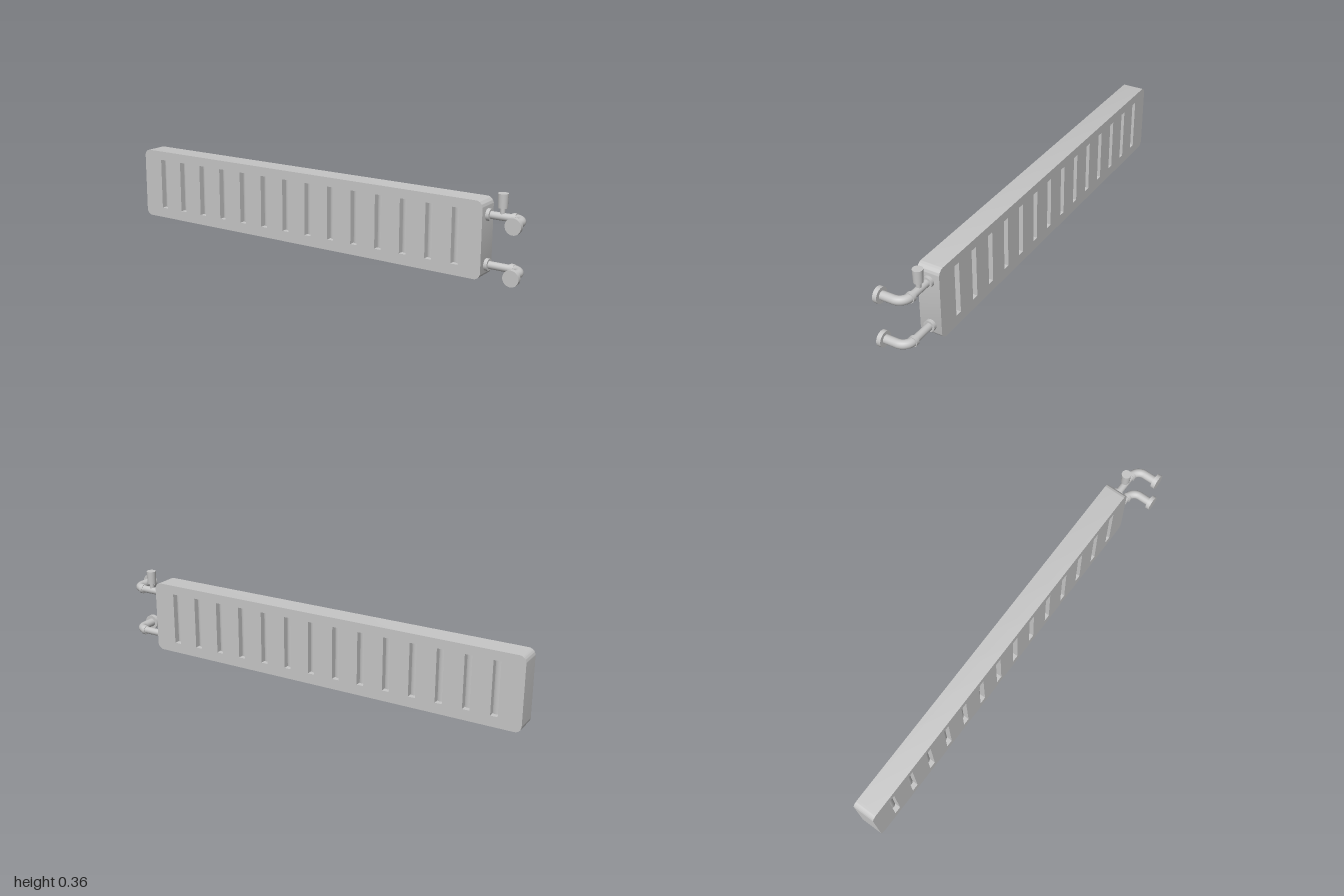
import * as THREE from 'three';
import { toCreasedNormals } from 'three/addons/utils/BufferGeometryUtils.js';

const X0 = -1, X1 = 0.805, H = 0.325, DEPTH = 0.1, ZC = -0.033;

export function createModel() {
  const root = new THREE.Group();
  const metal = new THREE.MeshStandardMaterial({ color: 0xc6c6c6 });
  metal.name = 'greyMetal';

  const add = (name, geometry, parent = root) => {
    const mesh = new THREE.Mesh(geometry, metal);
    mesh.name = name;
    parent.add(mesh);
    return mesh;
  };

  // Rounded casing pierced by a row of upright slots
  const r = 0.03;
  const outline = new THREE.Shape();
  outline.moveTo(X0 + r, 0);
  outline.lineTo(X1 - r, 0);
  outline.absarc(X1 - r, r, r, -Math.PI / 2, 0);
  outline.absarc(X1 - r, H - r, r, 0, Math.PI / 2);
  outline.absarc(X0 + r, H - r, r, Math.PI / 2, Math.PI);
  outline.absarc(X0 + r, r, r, Math.PI, Math.PI * 1.5);
  const slotX = Array.from({ length: 14 }, (_, i) => -0.883 + i * 0.1208);
  const hw = 0.016, low = 0.047, high = 0.284;
  for (const x of slotX) {
    outline.holes.push(new THREE.Path([
      new THREE.Vector2(x - hw, low), new THREE.Vector2(x - hw, high),
      new THREE.Vector2(x + hw, high), new THREE.Vector2(x + hw, low),
    ]));
  }
  const casing = new THREE.ExtrudeGeometry(outline, { depth: DEPTH, bevelEnabled: false, curveSegments: 8 });
  casing.translate(0, 0, ZC - DEPTH / 2);
  add('casing', toCreasedNormals(casing, 0.6));

  // Heating tubes seen through the slots
  const tubes = new THREE.Group();
  tubes.name = 'heatingTubes';
  root.add(tubes);
  for (const x of slotX) {
    add('heatingTube', new THREE.CylinderGeometry(0.028, 0.028, 0.26, 24), tubes)
      .position.set(x, (low + high) / 2, ZC);
  }

  // Two connection pipes, each with collars, an elbow and a wall flange
  const PX = 0.964;
  for (const [name, y] of [['upperPipe', 0.262], ['lowerPipe', 0.055]]) {
    const pipe = new THREE.Group();
    pipe.name = name;
    pipe.position.set(0, y, ZC);
    root.add(pipe);

    const rod = (part, radius, a, b) => {
      const mesh = add(part, new THREE.CylinderGeometry(radius, radius, b - a, 16), pipe);
      mesh.rotation.z = Math.PI / 2;
      mesh.position.x = (a + b) / 2;
    };
    rod('straightPipe', 0.016, X1 - 0.01, 0.92);
    rod('casingCollar', 0.0255, X1 - 0.005, 0.82);
    rod('elbowCollar', 0.022, 0.914, 0.93);

    const bend = 0.045;
    const path = new THREE.CurvePath();
    path.add(new THREE.LineCurve3(new THREE.Vector3(0.908, 0, 0), new THREE.Vector3(PX - bend, 0, 0)));
    path.add(new THREE.CubicBezierCurve3(
      new THREE.Vector3(PX - bend, 0, 0), new THREE.Vector3(PX - bend * 0.45, 0, 0),
      new THREE.Vector3(PX, 0, bend * 0.45), new THREE.Vector3(PX, 0, bend)));
    path.add(new THREE.LineCurve3(new THREE.Vector3(PX, 0, bend), new THREE.Vector3(PX, 0, 0.1)));
    add('elbow', new THREE.TubeGeometry(path, 32, 0.019, 16), pipe);

    const flange = add('wallFlange', new THREE.CylinderGeometry(0.034, 0.034, 0.019, 32), pipe);
    flange.rotation.x = Math.PI / 2;
    flange.position.set(PX + 0.002, 0, 0.1075);
  }

  // Valve with a slightly tapered knob on the upper pipe
  const valve = new THREE.Group();
  valve.name = 'valve';
  valve.position.set(0.868, 0, ZC);
  root.add(valve);
  add('valveStem', new THREE.CylinderGeometry(0.0105, 0.0105, 0.04, 16), valve).position.y = 0.28;
  add('valveKnob', new THREE.CylinderGeometry(0.0215, 0.0195, 0.059, 24), valve).position.y = 0.3275;

  return root;
}
